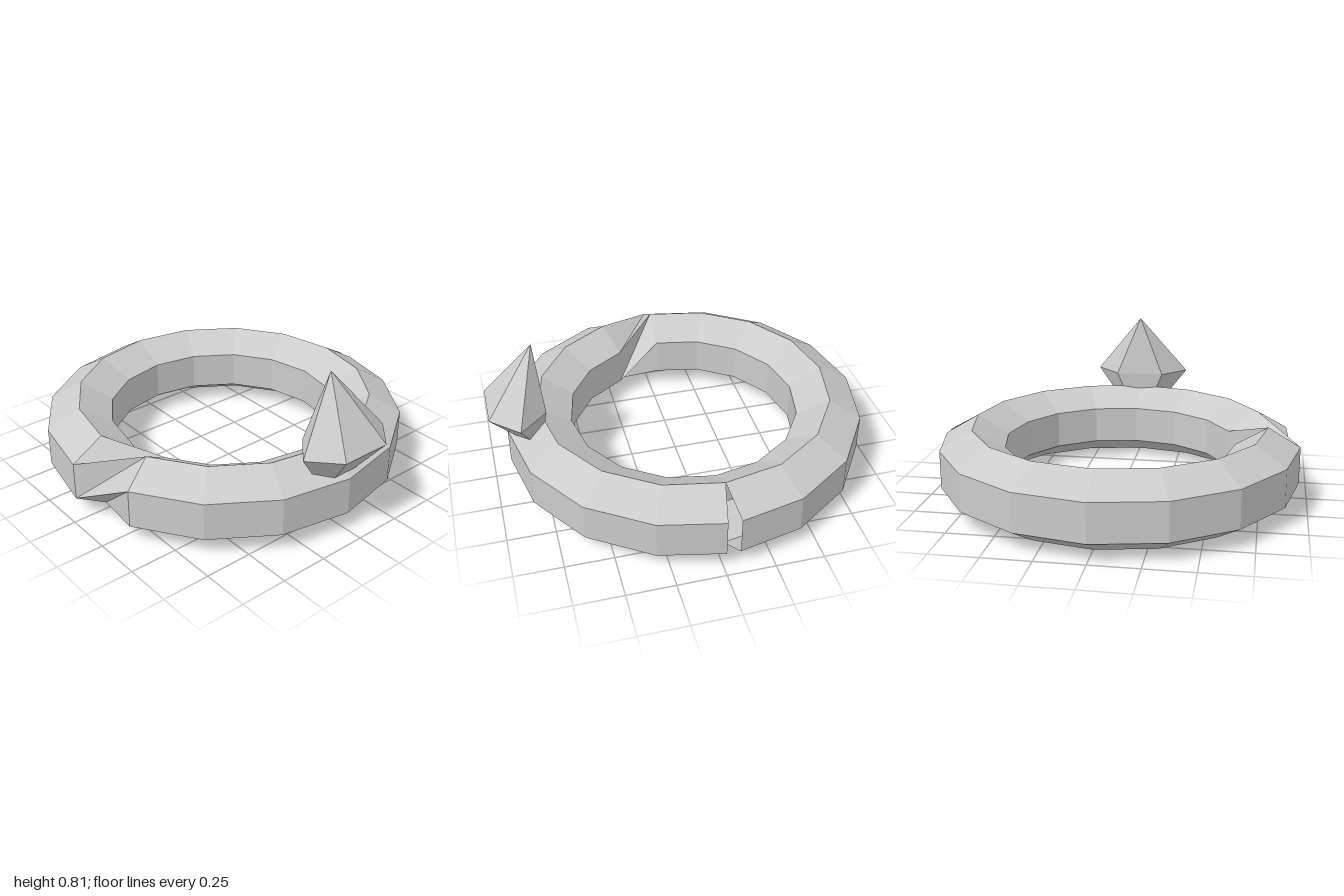
import * as THREE from 'three';

const material = new THREE.MeshStandardMaterial({ color: 0xcccccc, flatShading: true, side: THREE.DoubleSide });

function meshFrom(name, points, faces) {
  const geometry = new THREE.BufferGeometry();
  geometry.setAttribute('position', new THREE.Float32BufferAttribute(points.flat(), 3));
  geometry.setIndex(faces.flat());
  const flat = geometry.toNonIndexed();
  flat.computeVertexNormals();
  const mesh = new THREE.Mesh(flat, material);
  mesh.name = name;
  return mesh;
}

// Hexagonal band swept round a 16-sided circle, split on one side and twisted on the other
function createBand() {
  const section = [[0.955, 0.1], [0.955, 0.3], [0.785, 0.4], [0.615, 0.3], [0.615, 0.1], [0.785, 0]];
  const segments = 16, sides = section.length, centreZ = -0.045, gap = 0.035;
  const points = [], faces = [];
  for (let i = 0; i <= segments; i++) {
    const angle = (i / segments) * Math.PI * 2;
    // from halfway on, the section is turned by two corners, which twists one segment
    const turn = i >= segments / 2 ? sides - 2 : 0;
    for (let j = 0; j < sides; j++) {
      const k = (j + turn) % sides;
      const [r, y] = section[k];
      // the outer edge opens into a narrow notch where the band begins and ends
      const shift = k > 1 ? 0 : i === 0 ? gap : i === segments ? -gap : 0;
      points.push([r * Math.cos(angle), y, centreZ + r * Math.sin(angle) + shift]);
    }
  }
  for (let i = 0; i < segments; i++) {
    for (let j = 0; j < sides; j++) {
      const a = i * sides + j, b = i * sides + ((j + 1) % sides);
      faces.push([a, b, b + sides], [a, b + sides, a + sides]);
    }
  }
  return meshFrom('band', points, faces);
}

// Six-sided pointed gem, its points set back from the middle of the girdle
function createGem() {
  const girdle = [[0.27, 0.855], [0.135, 1], [-0.135, 1], [-0.27, 0.855], [-0.135, 0.71], [0.135, 0.71]];
  const points = [[0, 0.815, 0.743], [0, 0.145, 0.743], ...girdle.map(([x, z]) => [x, 0.48, z])];
  const faces = [];
  for (let i = 0; i < 6; i++) {
    const a = 2 + i, b = 2 + ((i + 1) % 6);
    faces.push([0, b, a], [1, a, b]);
  }
  return meshFrom('gem', points, faces);
}

export function createModel() {
  const ring = new THREE.Group();
  ring.name = 'ring';
  ring.add(createBand(), createGem());
  return ring;
}
